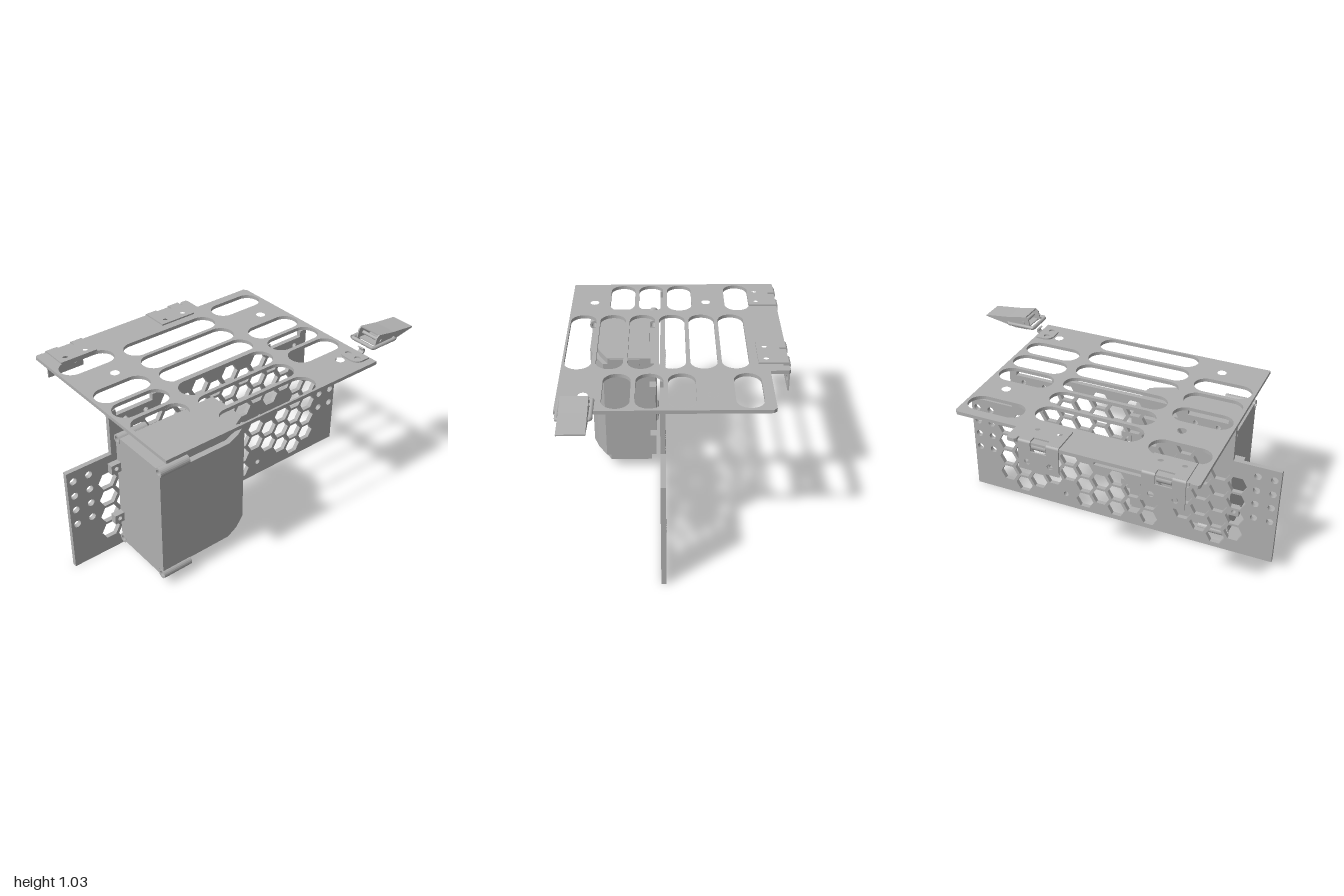
import * as THREE from 'three';

const metal = new THREE.MeshStandardMaterial({ color: 0xb0b0b0 });
metal.name = 'grey metal';

function add(parent, name, geo, x = 0, y = 0, z = 0) {
  const m = new THREE.Mesh(geo, metal);
  m.name = name;
  m.position.set(x, y, z);
  parent.add(m);
  return m;
}
const shapeOf = pts => new THREE.Shape(pts.map(p => new THREE.Vector2(...p)));
const rect = (x0, y0, x1, y1) => shapeOf([[x0, y0], [x1, y0], [x1, y1], [x0, y1]]);
const extrude = (s, depth, steps = 1) =>
  new THREE.ExtrudeGeometry(s, { depth, steps, bevelEnabled: false, curveSegments: 10 });

function hole(s, x, y, r, sides = 18) {
  const pts = [];
  for (let i = 0; i < sides; i++) {
    const a = -i * Math.PI * 2 / sides;
    pts.push(new THREE.Vector2(x + r * Math.cos(a), y + r * Math.sin(a)));
  }
  s.holes.push(new THREE.Path(pts));
}
function slot(s, x0, x1, y, h) {
  const r = h / 2, p = new THREE.Path();
  p.absarc(x0 + r, y, r, Math.PI / 2, Math.PI * 1.5, false);
  p.absarc(x1 - r, y, r, -Math.PI / 2, Math.PI / 2, false);
  p.closePath();
  s.holes.push(p);
}
// Horizontal plate drawn in (x, z), with its top face at y
const flat = (s, thick) => extrude(s, thick).rotateX(Math.PI / 2);

// Upright panel with honeycomb openings
function buildPanel(g) {
  const s = shapeOf([[-1, 0], [0.925, 0], [0.925, 0.63], [0.645, 0.63], [0.645, 0.893],
    [0.6, 0.893], [0.6, 0.857], [0.37, 0.857], [0.37, 0.893], [-0.45, 0.893],
    [-0.45, 0.857], [-0.68, 0.857], [-0.68, 0.893], [-0.725, 0.893], [-0.725, 0.63], [-1, 0.63]]);
  s.holes.push(new THREE.Path([[-0.19, 0.362], [-0.19, 0.532], [0.115, 0.532], [0.115, 0.362]]
    .map(p => new THREE.Vector2(...p))));
  const solid = [[0.18, 0.43], [0.3, 0.43], [0.39, 0.42], [0.49, 0.475], [0.3, 0.11], [0.39, 0.08],
    [-0.36, 0.11], [-0.45, 0.08]];
  const tops = [0.5, 0.56, 0.72, 0.77, 0.83, 0.77, 0.83, 0.77];
  for (let i = 0; i < 15; i++) {
    for (let k = 0; k < 7; k++) {
      const x = -0.76 + 0.104 * i, y = (i % 2 ? 0.08 : 0.136) + 0.113 * k;
      if (y > tops[Math.min(i, 14 - i)]) continue;
      if (x > -0.26 && x < 0.17 && y > 0.32 && y < 0.575) continue;
      if (solid.some(([a, b]) => Math.hypot(a - x, b - y) < 0.055)) continue;
      hole(s, x, y, 0.057, 6);
    }
  }
  for (const x of [-0.963, -0.87, 0.797, 0.888])
    for (const y of [0.283, 0.38, 0.472, 0.567]) hole(s, x, y, 0.021);
  for (const x of [-0.626, -0.497, 0.423, 0.556]) hole(s, x, 0.818, 0.014);
  for (const [x, y] of [[0.18, 0.425], [0.303, 0.425], [0.303, 0.09]]) hole(s, x, y, 0.016);
  add(g, 'honeycomb panel', extrude(s, 0.027), 0, 0, 0.055);
}

const hingeX = [-0.565, 0.115];

// Slotted shelf on top
function buildShelf(g) {
  const s = shapeOf([[-0.748, 0.605], [0.674, 0.605], [0.674, -0.48], [0.657, -0.497], [0.3, -0.497],
    [0.3, -0.595], [0.29, -0.605], [0.255, -0.605], [0.245, -0.595], [0.245, -0.57], [0.23, -0.57],
    [0.23, -0.603], [-0.695, -0.603], [-0.695, -0.595], [-0.705, -0.605], [-0.738, -0.605], [-0.748, -0.595]]);
  for (let i = 0; i < 6; i++) slot(s, -0.342, 0.273, -0.32 + i * 0.168, 0.146);
  for (const z of [-0.37, -0.03, 0.137, 0.305]) {
    slot(s, -0.728, -0.396, z, 0.144);
    slot(s, 0.322, 0.656, z, 0.144);
  }
  for (const x of [-0.502, 0.53]) for (const z of [-0.187, 0.47]) hole(s, x, z, 0.026);
  for (const hx of hingeX) for (const d of [-0.064, 0.064]) hole(s, hx + d, -0.485, 0.018);
  add(g, 'slotted shelf', flat(s, 0.02), 0, 0.912, 0);
}

// Two-leaf hinge on the rear edge
function buildHinge(parent, x) {
  const g = new THREE.Group();
  g.name = 'hinge';
  g.position.x = x;
  parent.add(g);
  const top = shapeOf([[-0.115, -0.44], [0.115, -0.44], [0.115, -0.6], [0.045, -0.6], [0.045, -0.565],
    [-0.045, -0.565], [-0.045, -0.6], [-0.115, -0.6]]);
  const drop = shapeOf([[-0.115, 0.745], [0.115, 0.745], [0.115, 0.908], [0.045, 0.908], [0.045, 0.86],
    [-0.045, 0.86], [-0.045, 0.908], [-0.115, 0.908]]);
  for (const d of [-0.064, 0.064]) {
    hole(top, d, -0.485, 0.017);
    hole(drop, d, 0.795, 0.017);
  }
  add(g, 'hinge top leaf', flat(top, 0.009), 0, 0.921, 0);
  add(g, 'hinge hanging leaf', extrude(drop, 0.008), 0, 0, -0.611);
  for (const d of [-0.08, 0.08])
    add(g, 'hinge bend', new THREE.CylinderGeometry(0.013, 0.013, 0.07, 14).rotateZ(Math.PI / 2), d, 0.908, -0.598);
  add(g, 'hinge knuckle', new THREE.CylinderGeometry(0.024, 0.024, 0.08, 20).rotateZ(Math.PI / 2), 0, 0.887, -0.582);
}

// Boxed unit mounted in front of the panel
function buildUnit(parent) {
  const g = new THREE.Group();
  g.name = 'mounted unit';
  parent.add(g);
  const z0 = 0.112, z1 = 0.493, y0 = 0.06, y1 = 0.762, n = 0.034;
  const s = shapeOf([[-z0 - n, y0], [-z1 + n, y0], [-z1 + n, y0 + n], [-z1, y0 + n], [-z1, y1 - n],
    [-z1 + n, y1 - n], [-z1 + n, y1], [-z0 - n, y1], [-z0 - n, y1 - n], [-z0, y1 - n],
    [-z0, y0 + n], [-z0 - n, y0 + n]].reverse());
  const geo = extrude(s, 3, 3).rotateY(Math.PI / 2);
  // Pull the front face back towards the +x end
  const xs = [-0.71, -0.27, -0.185, -0.097], fronts = [z1, z1, 0.462, 0.41];
  const p = geo.attributes.position;
  for (let i = 0; i < p.count; i++) {
    const k = Math.round(p.getX(i));
    p.setX(i, xs[k]);
    p.setZ(i, z0 + (p.getZ(i) - z0) * (fronts[k] - z0) / (z1 - z0));
  }
  geo.computeVertexNormals();
  add(g, 'unit housing', geo);

  // Corner screw tubes
  for (const z of [0.482, 0.125]) for (const y of [0.073, 0.747]) {
    const ring = new THREE.Shape();
    ring.absarc(0, 0, 0.027, 0, Math.PI * 2, false);
    hole(ring, 0, 0, 0.016);
    add(g, 'screw tube', extrude(ring, 0.18).rotateY(Math.PI / 2), -0.712, y, z);
  }
  // Side ears and their pads
  for (const y of [0.243, 0.58]) for (const x of [-0.738, -0.069]) {
    const ear = rect(-0.03, -0.028, 0.03, 0.028);
    hole(ear, 0, 0, 0.013);
    add(g, 'mounting ear', extrude(ear, 0.036), x, y, 0.11);
  }
  add(g, 'connector cover', new THREE.BoxGeometry(0.008, 0.062, 0.17), -0.095, 0.729, 0.285);
}

// Draw latch at the front right corner
function buildLatch(parent) {
  const g = new THREE.Group();
  g.name = 'draw latch';
  parent.add(g);
  const zc = 0.49;
  const base = new THREE.Shape();
  base.absarc(0.61, zc + 0.025, 0.046, Math.PI / 2, Math.PI, false);
  base.absarc(0.61, zc - 0.025, 0.046, Math.PI, Math.PI * 1.5, false);
  base.lineTo(0.66, zc - 0.071);
  base.lineTo(0.66, zc + 0.071);
  for (const d of [-0.035, 0.035]) hole(base, 0.608, zc + d, 0.017);
  add(g, 'latch base', flat(base, 0.009), 0, 0.921, 0);
  const hook = shapeOf([[0.64, 0.912], [0.668, 0.912], [0.682, 0.925], [0.682, 0.942], [0.668, 0.952],
    [0.66, 0.948], [0.672, 0.937], [0.672, 0.928], [0.664, 0.921], [0.64, 0.921]]);
  add(g, 'latch hook', extrude(hook, 0.036), 0, 0, zc - 0.018);

  // Wire loop
  const path = new THREE.CurvePath();
  const c = [[0.675, 0.41], [0.845, 0.41], [0.845, 0.57], [0.675, 0.57]].map(([x, z]) => new THREE.Vector3(x, 0.977, z));
  c.forEach((v, i) => path.add(new THREE.LineCurve3(v, c[(i + 1) % 4])));
  add(g, 'wire loop', new THREE.TubeGeometry(path, 64, 0.011, 8, true));

  // Lever with folded sides
  const cheek = shapeOf([[0.72, 0.955], [0.8, 0.953], [0.88, 0.968], [1, 0.99], [1, 0.997],
    [0.85, 1.013], [0.73, 1.034], [0.712, 1.02], [0.7, 0.97]]);
  for (const z of [0.421, 0.551]) add(g, 'lever side', extrude(cheek, 0.008), 0, 0, z);
  const cover = shapeOf([[0.73, 1.026], [0.85, 1.005], [1, 0.989], [1, 0.997], [0.85, 1.013], [0.73, 1.034]]);
  add(g, 'lever top', extrude(cover, 0.138), 0, 0, 0.421);
  add(g, 'lever pivot', new THREE.CylinderGeometry(0.01, 0.01, 0.15, 14).rotateX(Math.PI / 2), 0.745, 0.993, zc);
  add(g, 'lever bracket', new THREE.BoxGeometry(0.13, 0.006, 0.11), 0.775, 0.972, zc);
}

export function createModel() {
  const g = new THREE.Group();
  g.name = 'mounting bracket assembly';
  buildPanel(g);
  buildShelf(g);
  hingeX.forEach(x => buildHinge(g, x));
  buildUnit(g);
  buildLatch(g);
  return g;
}
